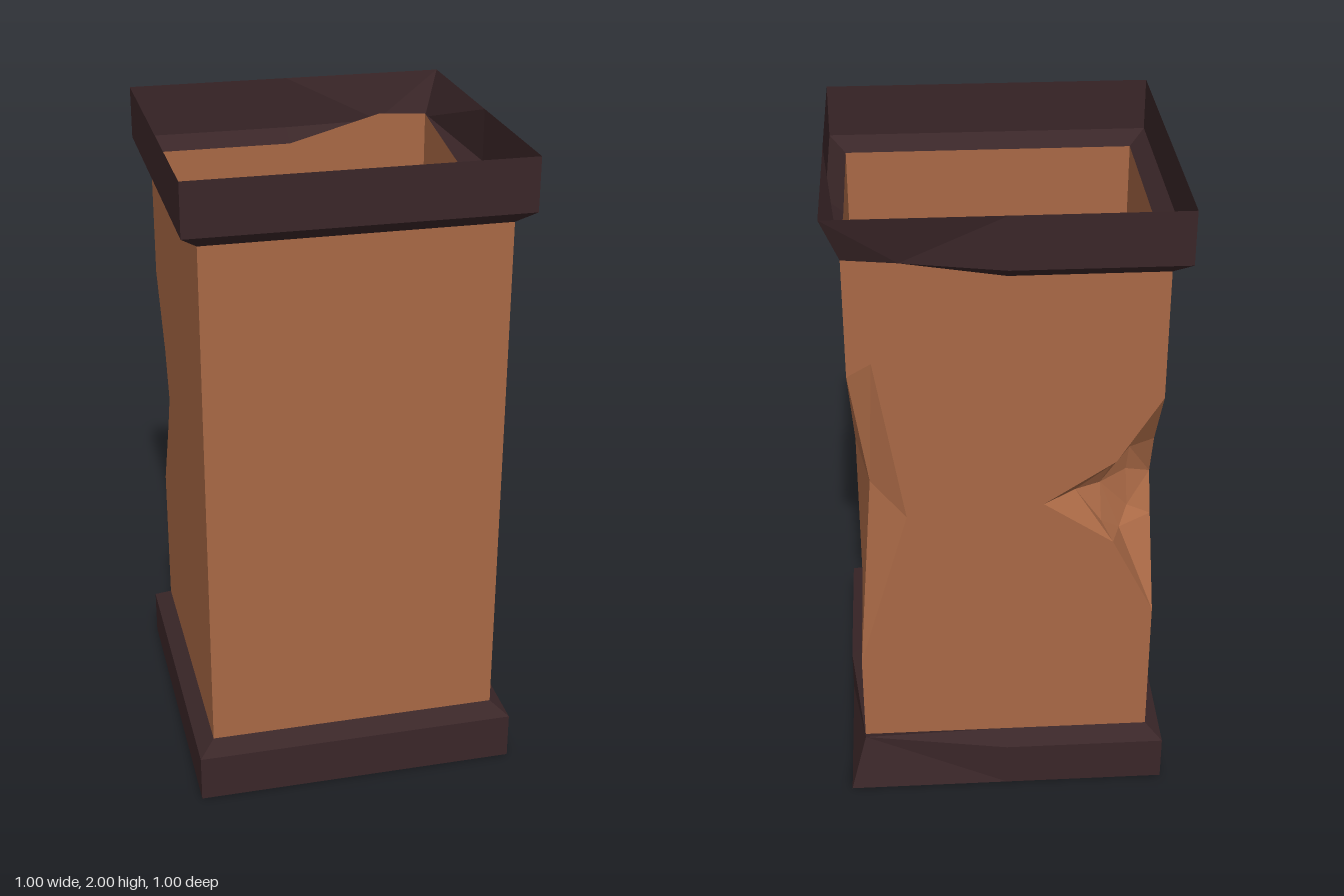
import * as THREE from 'three';

const wallMat = new THREE.MeshStandardMaterial({ color: 0xa86845, flatShading: true, side: THREE.DoubleSide });
const rimMat = new THREE.MeshStandardMaterial({ color: 0x3a2628, flatShading: true, side: THREE.DoubleSide });
const W = 0.45, R = 0.5; // half widths of the shaft and of the rims

function mesh(name, geometry, material) {
  const m = new THREE.Mesh(geometry, material);
  m.name = name;
  return m;
}

// Mesh from a list of triangles, each three [x, y, z] corners
function facets(name, triangles, material) {
  const g = new THREE.BufferGeometry();
  g.setAttribute('position', new THREE.Float32BufferAttribute(triangles.flat(2), 3));
  g.computeVertexNormals();
  return mesh(name, g, material);
}

// Flat wall from an outline, turned to face outward
function wall(name, outline, turn) {
  const g = new THREE.ShapeGeometry(new THREE.Shape(outline.map(p => new THREE.Vector2(...p))));
  g.translate(0, 0, W).rotateY(turn);
  return mesh(name, g, wallMat);
}

const dist = (a, b) => Math.hypot(a[0] - b[0], a[1] - b[1], a[2] - b[2]);

// Skin between two closed loops, split along the shorter diagonal
function band(low, high) {
  const tris = [];
  low.forEach((a, i) => {
    const j = (i + 1) % low.length, b = low[j], c = high[j], d = high[i];
    if (dist(a, c) < dist(b, d)) tris.push([a, b, c], [a, c, d]);
    else tris.push([a, b, d], [b, c, d]);
  });
  return tris;
}

// Square loop with mid points on the left and back sides, and a replaceable bent corner
function loop(s, y, corner = [s, y, -s], extra = [0, y, -s]) {
  return [[-s, y, s], [s, y, s], [s, y, 0], corner, extra, [0, y, -s], [-s, y, -s]];
}

export function createModel() {
  const model = new THREE.Group();
  model.name = 'brokenPillar';

  // Shaft walls
  model.add(wall('frontWall', [[-W, 0.185], [W, 0.185], [W, 1.8], [-W, 1.8]], 0));
  model.add(wall('leftWall', [
    [-W, 0.185], [W, 0.185], [W, 0.48], [0, 0.48], [0, 1.02], [W, 1.5], [W, 1.87], [0, 1.8], [-W, 1.8],
  ], Math.PI / 2));
  model.add(wall('rightWall', [
    [-W, 0.185], [W, 0.185], [W, 1.8], [-W, 1.8], [-W, 1.4], [-0.31, 1.18], [-0.255, 1.03], [-0.31, 0.91], [-W, 0.645],
  ], -Math.PI / 2));
  model.add(wall('backWall', [
    [-W, 0.185], [W, 0.185], [W, 0.645], [0.32, 0.905], [0.11, 1.05], [0.32, 1.19], [W, 1.4], [W, 1.8],
    [0, 1.8], [-0.295, 1.88], [-W, 1.87], [-W, 1.5], [-0.38, 1.54], [-0.295, 1.02], [-W, 0.48],
  ], Math.PI));

  // Shallow dent on the back left edge: a fan around the pushed-in point
  const dent = [0.4, 1.12, -0.4];
  const dentRim = [[W, 0.48, -W], [W, 0.48, 0], [W, 1.02, 0], [W, 1.5, -W], [0.38, 1.54, -W], [0.295, 1.02, -W]];
  model.add(facets('edgeDent', dentRim.map((p, i) => [p, dent, dentRim[(i + 1) % 6]].reverse()), wallMat));

  // Deep chipped hollow on the back right edge: outer rim, inner ring, bottom
  const outer = [
    [-W, 1.4, -W], [-0.32, 1.19, -W], [-0.11, 1.05, -W], [-0.32, 0.905, -W],
    [-W, 0.645, -W], [-W, 0.91, -0.31], [-W, 1.03, -0.255], [-W, 1.18, -0.31],
  ];
  const inner = [
    [-0.35, 1.17, -0.35], [-0.29, 1.14, -0.385], [-0.21, 1.05, -0.375], [-0.29, 0.94, -0.385],
    [-0.35, 0.89, -0.35], [-0.38, 0.93, -0.29], [-0.375, 1.05, -0.27], [-0.38, 1.14, -0.29],
  ];
  const deep = [-0.29, 1.04, -0.325];
  const hollow = band(inner, outer).map(t => t.reverse());
  inner.forEach((p, i) => hollow.push([p, deep, inner[(i + 1) % 8]].reverse()));
  model.add(facets('edgeHollow', hollow.map(t => t.reverse()), wallMat));

  // Open top rim, pinched in at its back left corner
  const topMid = loop(R, 1.84, [W, 1.86, -W], [0.295, 1.855, -0.467]);
  const topRim = [
    ...band(loop(W, 1.8, [W, 1.87, -W], [0.295, 1.88, -W]), topMid),
    ...band(topMid, loop(R, 2)),
  ];
  model.add(facets('topRim', topRim, rimMat));

  // Base rim with the same pinched corner
  const baseMid = loop(R, 0.148, [W, 0.172, -W]);
  model.add(facets('baseRim', [...band(loop(R, 0), baseMid), ...band(baseMid, loop(W, 0.185))], rimMat));

  // Floor
  model.add(mesh('floor', new THREE.PlaneGeometry(2 * R, 2 * R).rotateX(Math.PI / 2), rimMat));
  return model;
}
